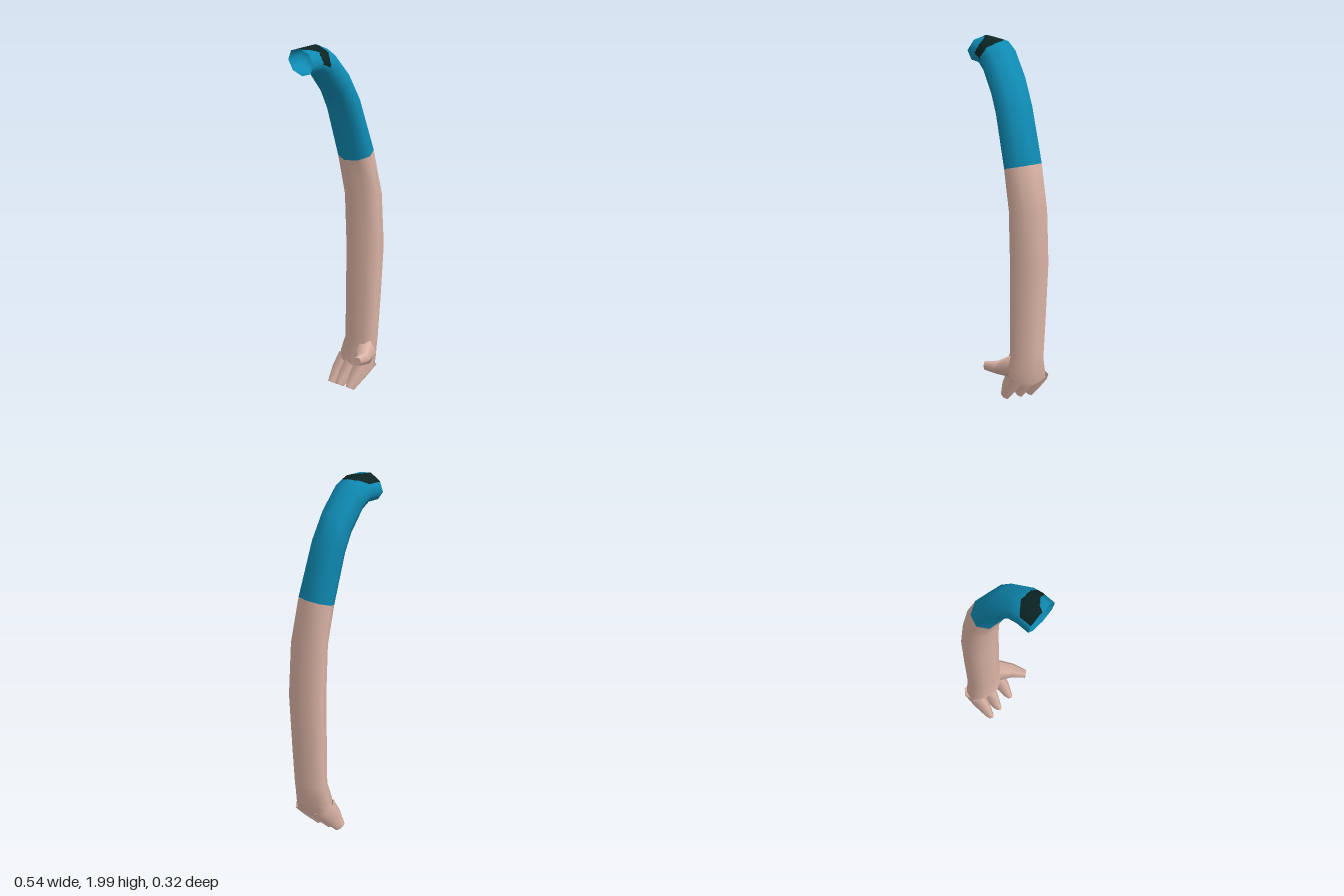
import * as THREE from 'three';

const V = (x, y, z) => new THREE.Vector3(x, y, z);
const flat = (name, color) => {
  const m = new THREE.MeshStandardMaterial({ color, side: THREE.DoubleSide });
  m.name = name;
  return m;
};

// Skins elliptical sections {c, u, v} (u x v points along the path).
// Each facet is split k times; pick(point, cosine) chooses the material group.
function loft(name, sections, materials, { n = 8, turn = 0, k = 1, pick = () => 0, cap = false } = {}) {
  const lists = materials.map(() => ({ p: [], q: [] }));
  const corner = (s, j) => {
    const a = turn + (j / n) * Math.PI * 2, co = Math.cos(a), si = Math.sin(a);
    return {
      p: s.c.clone().addScaledVector(s.u, co).addScaledVector(s.v, si),
      q: V(0, 0, 0).addScaledVector(s.u, co / s.u.lengthSq()).addScaledVector(s.v, si / s.v.lengthSq()).normalize(),
      co,
    };
  };
  const mix = (a, b, t) => ({
    p: a.p.clone().lerp(b.p, t), q: a.q.clone().lerp(b.q, t).normalize(), co: a.co + (b.co - a.co) * t,
  });
  const add = (list, ...verts) => verts.forEach((w) => { list.p.push(...w.p.toArray()); list.q.push(...w.q.toArray()); });

  for (let i = 0; i + 1 < sections.length; i++) for (let j = 0; j < n; j++) {
    const A = corner(sections[i], j), B = corner(sections[i], j + 1);
    const C = corner(sections[i + 1], j), D = corner(sections[i + 1], j + 1);
    const at = (s, t) => mix(mix(A, B, s), mix(C, D, s), t);
    for (let s = 0; s < k; s++) for (let t = 0; t < k; t++) {
      const mid = at((s + 0.5) / k, (t + 0.5) / k);
      const a = at(s / k, t / k), b = at((s + 1) / k, t / k);
      const c = at(s / k, (t + 1) / k), d = at((s + 1) / k, (t + 1) / k);
      add(lists[pick(mid.p, mid.co)], a, b, c, b, d, c);
    }
  }
  if (cap) {
    const s = sections[sections.length - 1], q = s.u.clone().cross(s.v).normalize();
    for (let j = 0; j < n; j++) {
      add(lists[0], { p: s.c, q }, { p: corner(s, j).p, q }, { p: corner(s, j + 1).p, q });
    }
  }
  const geo = new THREE.BufferGeometry();
  let start = 0;
  lists.forEach((l, i) => { geo.addGroup(start, l.p.length / 3, i); start += l.p.length / 3; });
  geo.setAttribute('position', new THREE.Float32BufferAttribute(lists.flatMap((l) => l.p), 3));
  geo.setAttribute('normal', new THREE.Float32BufferAttribute(lists.flatMap((l) => l.q), 3));
  const mesh = new THREE.Mesh(geo, materials.length > 1 ? materials : materials[0]);
  mesh.name = name;
  return mesh;
}

// Section spanning an outer and an inner point of the side profile
const span = (ox, oy, ix, iy, w = 0.113, z = -0.025) => ({
  c: V((ox + ix) / 2, (oy + iy) / 2, z), u: V((ox - ix) / 2, (oy - iy) / 2, 0), v: V(0, 0, w),
});

function inside(poly, x, z) {
  let hit = false;
  poly.forEach(([x1, z1], i) => {
    const [x2, z2] = poly[(i + 1) % poly.length];
    if ((z1 > z) !== (z2 > z) && x < x1 + ((z - z1) / (z2 - z1)) * (x2 - x1)) hit = !hit;
  });
  return hit;
}

export function createModel() {
  const teal = flat('teal cloth', 0x0f8ab2);
  const dark = flat('dark patch', 0x0c2424);
  const skin = flat('skin', 0xdbb4a6);
  const model = new THREE.Group();
  model.name = 'arm';
  const turn = -0.096;

  // Sleeve: shoulder with its dark patch, then the upper arm
  const sleeve = [
    span(-0.273, 1.995, -0.273, 1.84), span(-0.16, 2.0, -0.21, 1.84), span(-0.08, 1.96, -0.17, 1.81),
    span(0.02, 1.83, -0.09, 1.69), span(0.10, 1.67, -0.05, 1.59), span(0.2, 1.36, 0.025, 1.31),
  ];
  const patch = [
    [-0.3, -0.113], [-0.19, -0.113], [-0.135, -0.04], [-0.135, 0.04], [-0.155, 0.1],
    [-0.2, 0.1], [-0.205, 0.045], [-0.235, 0.005], [-0.3, -0.035],
  ];
  const onPatch = (p, co) => (co > -0.1 && inside(patch, p.x, p.z) ? 1 : 0);
  model.add(
    loft('shoulder', sleeve.slice(0, 3), [teal, dark], { turn, k: 18, pick: onPatch }),
    loft('upperSleeve', sleeve.slice(2), [teal], { turn }),
  );

  // Bare forearm
  model.add(loft('forearm', [
    sleeve[5], span(0.257, 1.1, 0.07, 1.09), span(0.272, 0.8, 0.08, 0.8, 0.112),
    span(0.25, 0.5, 0.075, 0.5, 0.106), span(0.232, 0.28, 0.07, 0.28, 0.1),
  ], [skin], { turn }));

  // Hand
  const hand = new THREE.Group();
  hand.name = 'hand';
  hand.add(loft('palm', [
    span(0.232, 0.28, 0.07, 0.28, 0.1), span(0.222, 0.24, 0.06, 0.25, 0.108),
    span(0.215, 0.18, 0.05, 0.2, 0.118, -0.03), span(0.21, 0.125, 0.055, 0.16, 0.118, -0.036),
    span(0.17, 0.095, 0.07, 0.13, 0.08, -0.036),
  ], [skin], { turn, cap: true }));

  // Three curled fingers: root z, tip z
  [[0.042, 0.035], [-0.043, -0.056], [-0.118, -0.12]].forEach(([z0, z1], i) => {
    hand.add(loft('finger' + (i + 1), [
      span(0.205, 0.13, 0.07, 0.19, 0.042, z0),
      span(0.135, 0.07, 0.025, 0.12, 0.036, z0 * 0.5 + z1 * 0.5),
      span(0.05, 0.005, -0.008, 0.035, 0.018, z1),
    ], [skin], { n: 6, cap: true }));
  });

  // Thumb, reaching forward and inward
  const thumb = (x, y, z, w, h) => ({ c: V(x, y, z), u: V(0.55 * w, 0, 0.83 * w), v: V(0, h, 0) });
  hand.add(loft('thumb', [
    thumb(0.12, 0.215, 0.045, 0.065, 0.07), thumb(0.055, 0.2, 0.11, 0.04, 0.036),
    thumb(-0.012, 0.2, 0.142, 0.023, 0.025),
  ], [skin], { n: 6, cap: true }));
  model.add(hand);
  return model;
}
